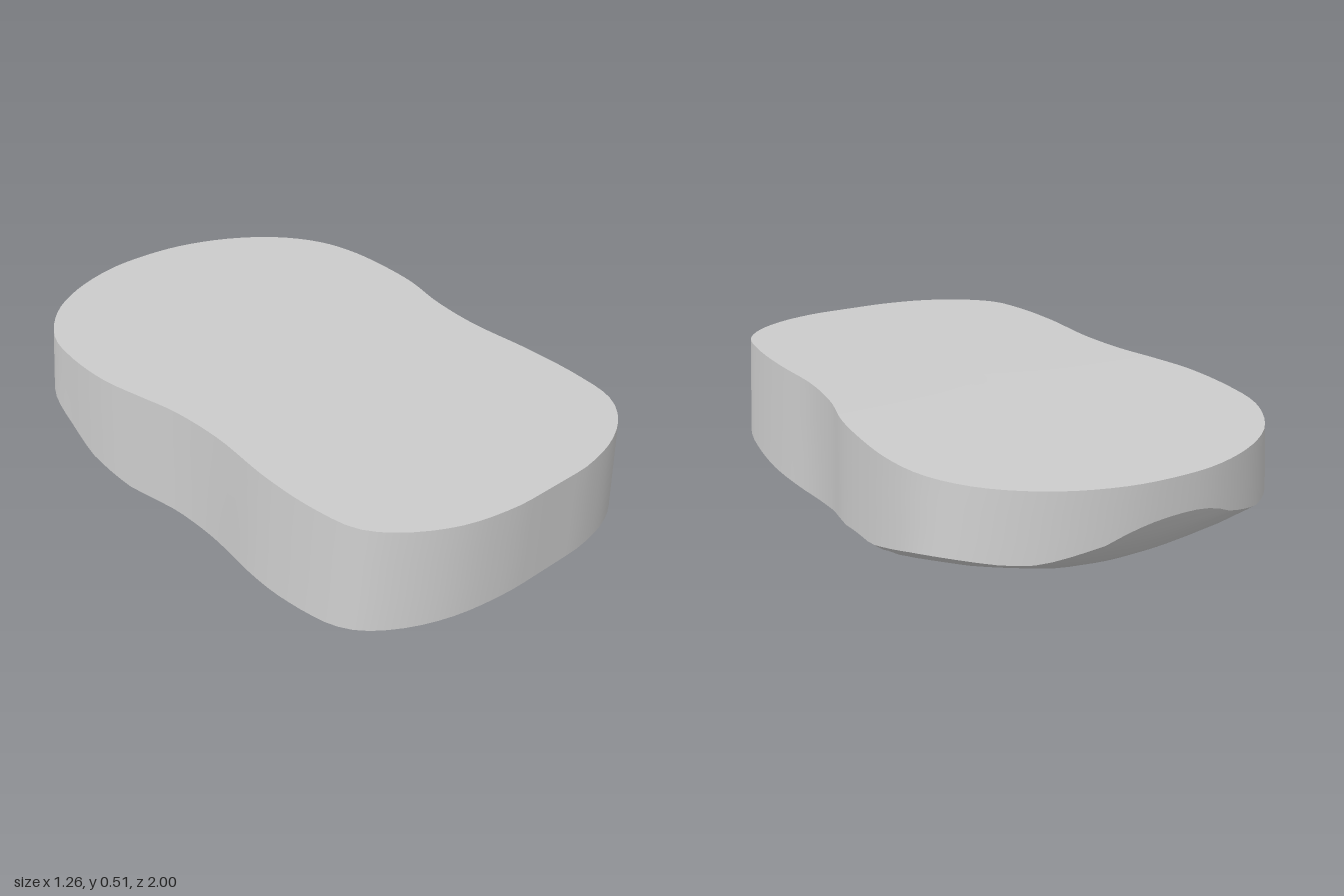
import * as THREE from 'three';

const SEGMENTS = 120;
const { lerp, clamp, smoothstep } = THREE.MathUtils;
const material = new THREE.MeshStandardMaterial({ color: 0xcccccc });

// Upper rim (x, z), from the front centre along +x to the back and returning along -x.
const OUTLINE = [
  [0, 1], [0.14, 0.998], [0.3, 0.96], [0.42, 0.89], [0.49, 0.8], [0.52, 0.65], [0.53, 0.45],
  [0.525, 0.2], [0.55, 0], [0.59, -0.15], [0.61, -0.3], [0.615, -0.5], [0.585, -0.65],
  [0.5, -0.79], [0.35, -0.91], [0.17, -0.98], [0, -0.998], [-0.15, -0.985], [-0.33, -0.92],
  [-0.47, -0.82], [-0.58, -0.66], [-0.615, -0.5], [-0.62, -0.3], [-0.595, -0.15], [-0.565, 0],
  [-0.555, 0.2], [-0.575, 0.45], [-0.57, 0.65], [-0.54, 0.79], [-0.46, 0.88], [-0.32, 0.96],
  [-0.14, 0.998],
];

// Keel height along z, and how far the underside rises from keel to side (z, keel, rise).
const KEEL = [
  [-1, 0.39, 0.02], [-0.97, 0.33, 0.04], [-0.9, 0.25, 0.1], [-0.8, 0.18, 0.15], [-0.6, 0.098, 0.155],
  [-0.4, 0.048, 0.125], [-0.2, 0.018, 0.125], [0, 0.003, 0.155], [0.27, 0, 0.15], [0.5, 0.05, 0.1],
  [0.7, 0.108, 0.06], [0.85, 0.165, 0.03], [1, 0.22, 0],
];

function keelAt(z) {
  const zc = clamp(z, -1, 1);
  const i = Math.max(1, KEEL.findIndex((k) => k[0] >= zc));
  const a = KEEL[i - 1], b = KEEL[i];
  const t = (zc - a[0]) / (b[0] - a[0]);
  return [1, 2].map((n) => lerp(a[n], b[n], t));
}

function undersideHeight(x, z) {
  const [keel, rise] = keelAt(z);
  const u = x / 0.6;
  // shallow scoop under the waist on the left side
  const scoop = 0.04 * Math.max(0, u) ** 8 * Math.exp(-(((z + 0.15) / 0.3) ** 2));
  return keel + rise * u * u + scoop;
}

const topHeight = (z) => 0.513 - 0.016 * smoothstep(-z, 0, 1);

// Skin a list of closed rings, ordered from the top centre down to the bottom centre.
function skin(name, rings) {
  const index = [];
  for (let r = 0; r < rings.length - 1; r++) {
    for (let j = 0; j < SEGMENTS; j++) {
      const k = (j + 1) % SEGMENTS;
      const a = r * SEGMENTS + j, b = r * SEGMENTS + k;
      const c = a + SEGMENTS, d = b + SEGMENTS;
      index.push(a, c, b, b, c, d);
    }
  }
  const geometry = new THREE.BufferGeometry();
  geometry.setAttribute('position', new THREE.Float32BufferAttribute(rings.flat(2), 3));
  geometry.setIndex(index);
  geometry.computeVertexNormals();
  const mesh = new THREE.Mesh(geometry, material);
  mesh.name = name;
  return mesh;
}

export function createModel() {
  const curve = new THREE.CatmullRomCurve3(
    OUTLINE.map(([x, z]) => new THREE.Vector3(x, 0, z)), true, 'centripetal');
  const upper = curve.getSpacedPoints(SEGMENTS).slice(0, SEGMENTS)
    .map((p) => [p.x, clamp(p.z, -1, 1)]);

  // The lower rim flares slightly, most of all at the narrow front and the back corners.
  const lower = upper.map(([x, z]) => {
    const flare = 0.01 + 0.016 * smoothstep(z, 0.1, 0.4) + 0.016 * smoothstep(-z, 0.5, 0.75);
    return [x * (1 + flare / 0.6), z];
  });

  // Each ring is an outline shrunk toward the centre and set to a height.
  const ring = (outline, scale, height) => outline.map(([x, z]) =>
    [x * scale, height(x * scale, z * scale), z * scale]);

  const topRings = [0.001, 0.35, 0.7, 1].map((s) => ring(upper, s, (x, z) => topHeight(z)));
  const topRim = topRings[3];
  const undersideRings = [1, 0.985, 0.965, 0.94, 0.9, 0.85, 0.78, 0.7, 0.6, 0.5, 0.38, 0.26, 0.13, 0.001]
    .map((s) => ring(lower, s, undersideHeight));
  const bottomRim = undersideRings[0];
  const wallRings = [0, 0.33, 0.67, 1].map((t) => topRim.map((p, j) =>
    p.map((v, n) => lerp(v, bottomRim[j][n], t))));

  const group = new THREE.Group();
  group.name = 'contouredPad';
  group.add(skin('topFace', topRings), skin('sideWall', wallRings), skin('roundedUnderside', undersideRings));
  return group;
}
